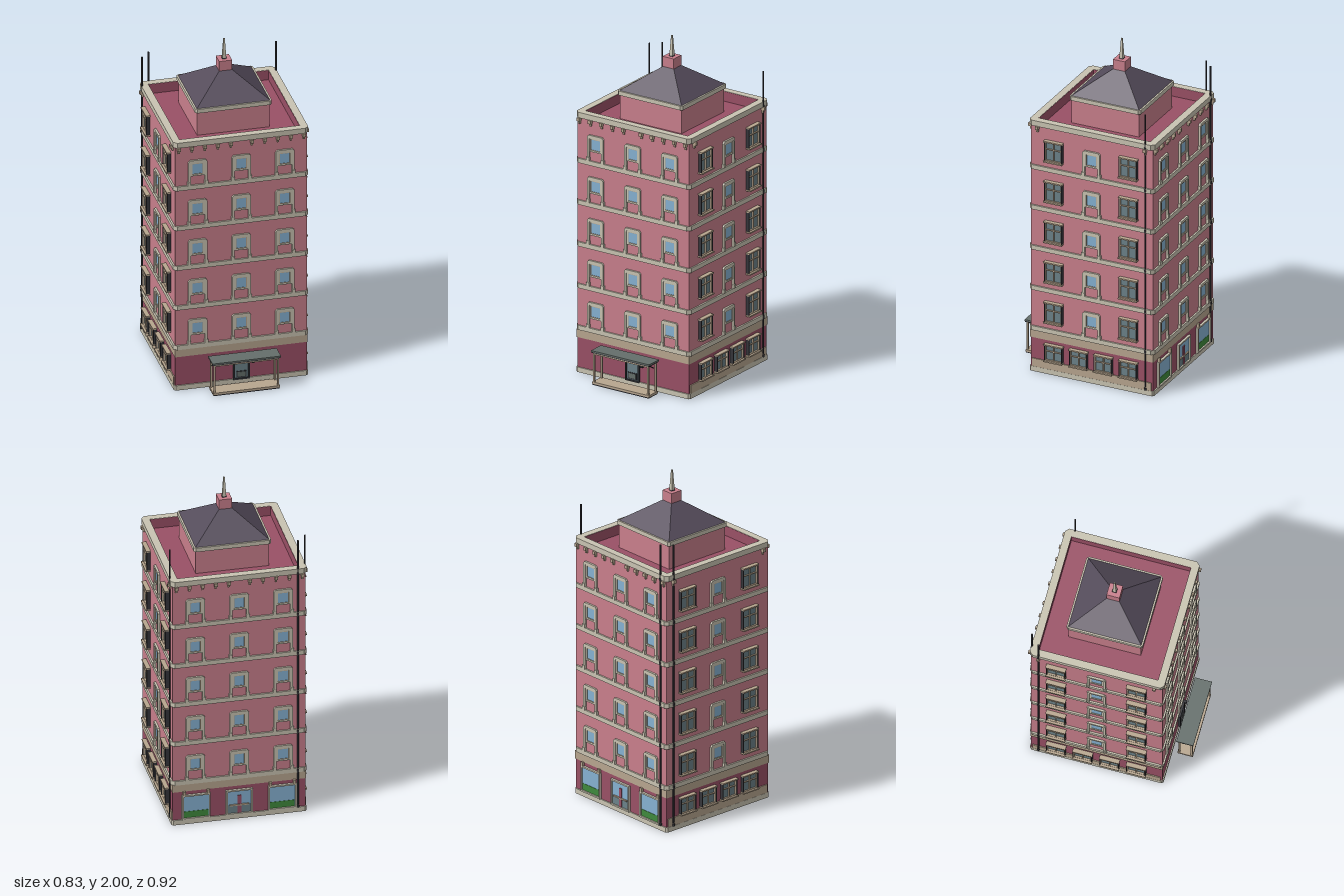
import * as THREE from 'three';

const paint = (name, hex) => {
  const m = new THREE.MeshStandardMaterial({ color: hex });
  m.name = name;
  return m;
};

export function createModel() {
  const pink = paint('pink wall', 0xc97f8c), wine = paint('wine wall', 0x9a5066);
  const cream = paint('cream trim', 0xc9c4b2), tan = paint('tan stone', 0xb8a68f);
  const slate = paint('slate roof', 0x544b5a), sky = paint('blue glass', 0x86b2d2);
  const teal = paint('grey glass', 0x6c8289), dark = paint('dark metal', 0x35353a);
  const canopyGrey = paint('canopy grey', 0x656f6b), green = paint('green panel', 0x3f8a3c);

  const root = new THREE.Group();
  root.name = 'building';
  const tower = new THREE.Group();
  tower.name = 'towerBlock';
  tower.position.z = -0.056;
  root.add(tower);
  const W = 0.385; // half width of the walls

  const add = (parent, name, geo, mat, x = 0, y = 0, z = 0) => {
    const m = new THREE.Mesh(geo, mat);
    m.name = name;
    m.position.set(x, y, z);
    parent.add(m);
    return m;
  };
  // box given by centre x, bottom and top y, and back and front z
  const box = (parent, name, mat, x, w, y0, y1, z0, z1) =>
    add(parent, name, new THREE.BoxGeometry(w, y1 - y0, z1 - z0), mat, x, (y0 + y1) / 2, (z0 + z1) / 2);
  const shapeOf = (pts) => new THREE.Shape(pts.map((p) => new THREE.Vector2(p[0], p[1])));
  const square = (h, c = 0) => c
    ? [[-h + c, -h], [h - c, -h], [h, -h + c], [h, h - c], [h - c, h], [-h + c, h], [-h, h - c], [-h, -h + c]]
    : [[-h, -h], [h, -h], [h, h], [-h, h]];
  // square slab or ring with cut corners, lying flat
  const slab = (name, mat, half, cut, y0, y1, hole = 0) => {
    const s = shapeOf(square(half, cut));
    if (hole) s.holes.push(shapeOf(square(hole)));
    const g = new THREE.ExtrudeGeometry(s, { depth: y1 - y0, bevelEnabled: false }).rotateX(-Math.PI / 2);
    return add(tower, name, g, mat, 0, y0, 0);
  };
  // rectangular frame standing on a wall
  const frame = (parent, name, mat, x, w, y0, y1, t, z0, z1) => {
    const rect = (a, b, c, d) => shapeOf([[-a, b], [c, b], [c, d], [-a, d]]);
    const s = rect(w / 2, y0, w / 2, y1);
    s.holes.push(rect(w / 2 - t, y0 + t, w / 2 - t, y1 - t));
    add(parent, name, new THREE.ExtrudeGeometry(s, { depth: z1 - z0, bevelEnabled: false }), mat, x, 0, z0);
  };

  // Walls and floor bands
  slab('base', cream, 0.392, 0.01, 0, 0.03);
  slab('groundWall', wine, W, 0, 0.03, 0.21);
  slab('stoneCourse', tan, W + 0.003, 0, 0.21, 0.26);
  slab('upperWall', pink, W, 0, 0.26, 1.51);
  slab('parapet', pink, W, 0, 1.51, 1.545, 0.351);
  slab('parapetLining', wine, 0.353, 0, 1.51, 1.574, 0.3505);
  slab('roofDeck', wine, 0.352, 0, 1.505, 1.515);
  slab('cornice', cream, 0.395, 0.02, 1.543, 1.576, 0.352);
  const floors = [0.285, 0.538, 0.791, 1.044, 1.297];
  floors.forEach((y) => slab('floorBand', cream, 0.395, 0.02, y - 0.027, y));

  // Roof house with pyramid roof and spire
  slab('roofHouse', pink, 0.212, 0, 1.51, 1.662);
  slab('roofHouseCornice', cream, 0.224, 0.012, 1.66, 1.685);
  const pyramid = (name, mat, top, bottom, y0, y1) => {
    const g = new THREE.CylinderGeometry(top * Math.SQRT2, bottom * Math.SQRT2, y1 - y0, 4, 1);
    const flat = g.rotateY(Math.PI / 4).toNonIndexed();
    flat.computeVertexNormals();
    add(tower, name, flat, mat, 0, (y0 + y1) / 2, 0);
  };
  pyramid('pyramidRoof', slate, 0.037, 0.214, 1.685, 1.815);
  slab('spireBlock', pink, 0.038, 0, 1.805, 1.875);
  pyramid('spireFoot', dark, 0.011, 0.013, 1.875, 1.88);
  pyramid('spire', cream, 0.004, 0.011, 1.878, 2);

  // Small window under a hood with legs
  const hoodWindow = (face, x, y) => {
    const g = new THREE.Group();
    g.name = 'hoodWindow';
    g.position.set(x, y, W);
    face.add(g);
    const hood = shapeOf([[-0.055, 0], [-0.041, 0], [-0.041, 0.135], [-0.035, 0.142], [0.035, 0.142], [0.041, 0.135],
      [0.041, 0], [0.055, 0], [0.055, 0.146], [0.045, 0.157], [-0.045, 0.157], [-0.055, 0.146]]);
    add(g, 'hood', new THREE.ExtrudeGeometry(hood, { depth: 0.012, bevelEnabled: false }), cream);
    for (const s of [-1, 1]) box(g, 'hoodFoot', cream, s * 0.05, 0.02, 0, 0.022, 0, 0.015);
    frame(g, 'windowFrame', cream, 0, 0.082, 0.057, 0.143, 0.009, 0, 0.008);
    frame(g, 'windowSash', tan, 0, 0.066, 0.065, 0.135, 0.004, 0, 0.006);
    box(g, 'windowPane', sky, 0, 0.06, 0.067, 0.133, 0, 0.003);
  };

  // Wide window with crossed bars
  const crossWindow = (face, x, y0, y1) => {
    const g = new THREE.Group();
    g.name = 'crossWindow';
    g.position.set(x, 0, W);
    face.add(g);
    const h = y1 - y0, bar = y0 + h * 0.6;
    box(g, 'glass', teal, 0, 0.104, y0 + 0.006, y1 - 0.006, 0, 0.006);
    frame(g, 'outerFrame', dark, 0, 0.112, y0, y1, 0.004, 0, 0.022);
    frame(g, 'innerFrame', tan, 0, 0.104, y0 + 0.004, y1 - 0.004, 0.004, 0, 0.017);
    box(g, 'mullion', tan, 0, 0.006, y0 + 0.004, y1 - 0.004, 0, 0.014);
    box(g, 'transom', tan, 0, 0.1, bar - 0.003, bar + 0.003, 0, 0.014);
    box(g, 'lintel', tan, 0, 0.117, y1 - 0.005, y1 + 0.003, 0, 0.026);
    box(g, 'sill', tan, 0, 0.117, y0 - 0.003, y0 + 0.005, 0, 0.03);
  };

  // Four faces, each built facing +z and turned into place
  const names = ['frontFace', 'leftFace', 'backFace', 'rightFace'];
  const faces = names.map((name, i) => {
    const f = new THREE.Group();
    f.name = name;
    f.rotation.y = i * Math.PI / 2;
    tower.add(f);
    const side = i % 2 === 1;
    floors.forEach((y) => {
      hoodWindow(f, 0, y);
      for (const s of [-1, 1]) {
        if (side) crossWindow(f, s * 0.236, y + 0.042, y + 0.168);
        else hoodWindow(f, s * 0.255, y);
      }
    });
    // Cornice brackets
    const brackets = side ? [0.34] : [0, 1, 2, 3, 4].map((k) => 0.061 + k * 0.0763);
    for (const b of brackets) for (const s of [-1, 1]) {
      box(f, 'corniceBracket', tan, s * b, 0.018, 1.525, 1.545, W, W + 0.021);
      box(f, 'bracketFoot', tan, s * b, 0.011, 1.508, 1.526, W, W + 0.011);
    }
    if (side) {
      box(f, 'sillCourse', tan, 0, 0.75, 0.03, 0.08, W, W + 0.006);
      for (const k of [-1.5, -0.5, 0.5, 1.5]) crossWindow(f, k * 0.157, 0.085, 0.188);
    }
    return f;
  });
  const [front, , back] = faces;

  // Front door
  box(front, 'door', teal, 0, 0.08, 0.03, 0.18, W, W + 0.006);
  frame(front, 'doorFrame', dark, 0, 0.096, 0.026, 0.188, 0.009, W, W + 0.014);
  box(front, 'doorPanel', dark, 0, 0.058, 0.04, 0.078, W, W + 0.009);
  box(front, 'doorInset', canopyGrey, 0, 0.048, 0.045, 0.073, W, W + 0.011);
  box(front, 'wallLamp', dark, 0.067, 0.016, 0.125, 0.15, W, W + 0.02);

  // Back shop bays and back door
  for (const s of [-1, 1]) {
    const x = s * 0.25;
    box(back, 'shopGlass', sky, x, 0.15, 0.04, 0.18, W, W + 0.004);
    box(back, 'shopPanel', green, x, 0.142, 0.04, 0.08, W, W + 0.006);
    frame(back, 'shopFrame', cream, x, 0.165, 0.03, 0.188, 0.009, W, W + 0.014);
    for (const t of [-1, 1]) box(back, 'shopBracket', tan, x + t * 0.07, 0.016, 0.188, 0.212, W, W + 0.016);
  }
  box(back, 'backDoorGlass', sky, 0, 0.14, 0.09, 0.18, W, W + 0.004);
  box(back, 'backDoorPanel', teal, 0, 0.14, 0.03, 0.09, W, W + 0.005);
  frame(back, 'backDoorFrame', cream, 0, 0.155, 0.028, 0.188, 0.009, W, W + 0.014);
  box(back, 'backDoorPost', wine, 0, 0.022, 0.03, 0.15, W, W + 0.009);
  box(back, 'backDoorRail', tan, 0, 0.11, 0.085, 0.093, W, W + 0.012);

  // Entrance porch
  const porch = new THREE.Group();
  porch.name = 'porch';
  root.add(porch);
  box(porch, 'porchFloor', tan, 0, 0.39, 0.006, 0.018, 0.365, 0.455);
  box(porch, 'porchFloorEdge', dark, 0, 0.386, 0, 0.006, 0.365, 0.455);
  box(porch, 'canopy', canopyGrey, 0, 0.4, 0.2, 0.208, 0.36, 0.46);
  box(porch, 'canopyEdge', dark, 0, 0.396, 0.194, 0.2, 0.362, 0.458);
  for (const s of [-1, 1]) {
    for (const z of [0.375, 0.447]) box(porch, 'porchPost', tan, s * 0.186, 0.011, 0.018, 0.195, z - 0.005, z + 0.005);
    const brace = box(porch, 'porchBrace', dark, s * 0.186, 0.005, -0.0025, 0.0025, -0.03, 0.03);
    brace.position.set(s * 0.186, 0.18, 0.42);
    brace.rotation.x = -0.55;
  }
  box(porch, 'porchBeam', tan, 0, 0.37, 0.184, 0.194, 0.442, 0.452);

  // Drain pipes rising above the roof, with clamps
  for (const [x, z] of [[-0.392, -0.34], [0.392, -0.34], [-0.34, -0.392]]) {
    add(tower, 'drainPipe', new THREE.CylinderGeometry(0.005, 0.005, 1.71, 8), dark, x, 0.905, z);
    for (const y of [0.05, ...floors, 1.56]) {
      add(tower, 'pipeClamp', new THREE.CylinderGeometry(0.008, 0.008, 0.014, 8), dark, x, y - 0.013, z);
    }
  }
  return root;
}
